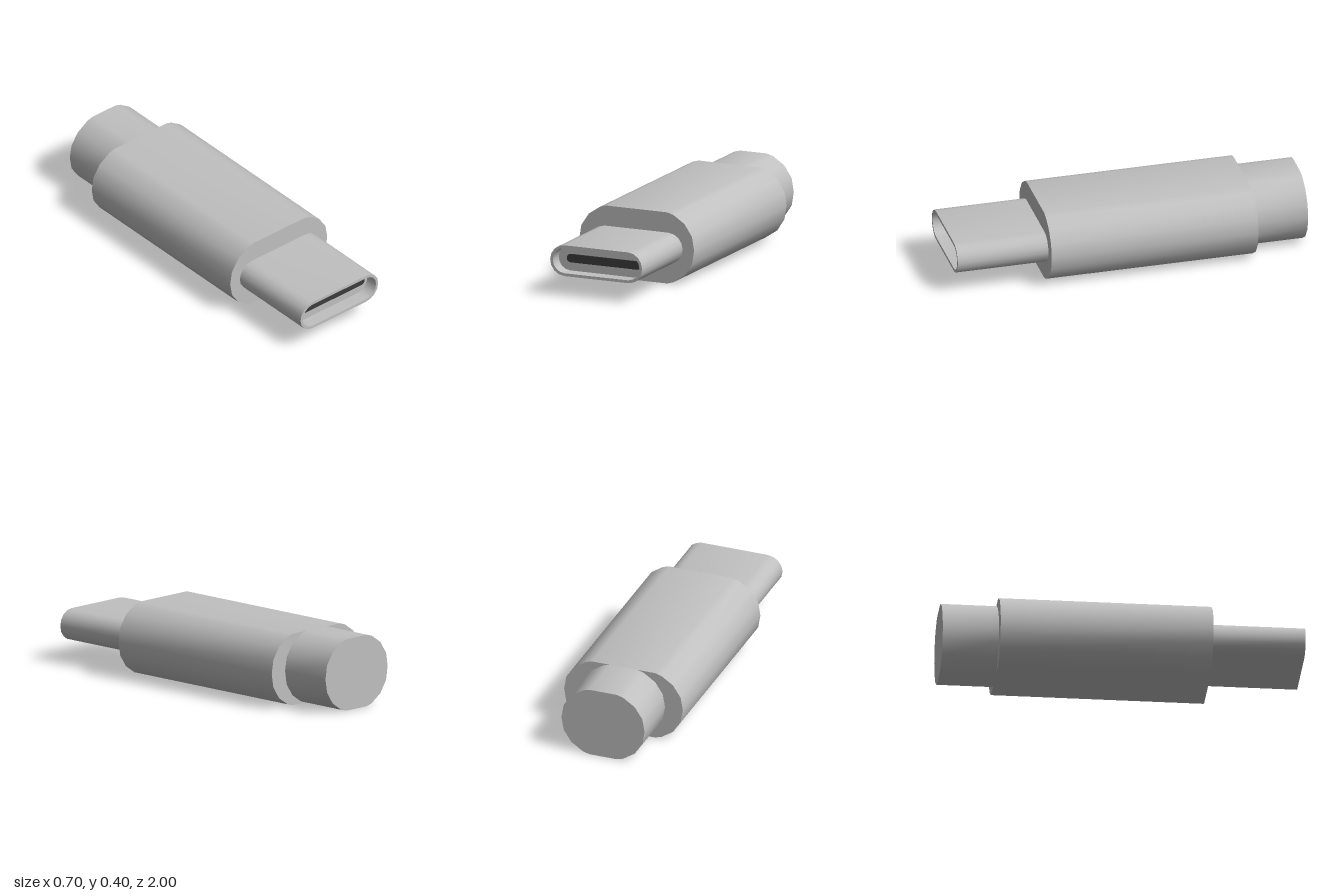
import * as THREE from 'three';
import { toCreasedNormals } from 'three/addons/utils/BufferGeometryUtils.js';

const MID_Y = 0.201;

// Rounded section: one quadrant from top to side, mirrored into a full outline
function section(quadrant) {
  const points = [];
  const back = [...quadrant].reverse();
  back.forEach(([x, y]) => points.push([x, y]));
  quadrant.slice(0, -1).forEach(([x, y]) => points.push([-x, y]));
  back.forEach(([x, y]) => points.push([-x, -y]));
  quadrant.slice(0, -1).forEach(([x, y]) => points.push([x, -y]));
  return points.map(([x, y]) => new THREE.Vector2(x, y));
}

// Quadrant of a slot: a straight run of half length h, ended by an arc of radius r
function slot(h, r, steps) {
  const quadrant = [];
  for (let i = 0; i <= steps; i++) {
    const a = Math.PI / 2 * (1 - i / steps);
    quadrant.push([h + r * Math.cos(a), r * Math.sin(a)]);
  }
  return section(quadrant);
}

export function createModel() {
  const group = new THREE.Group();
  const shell = new THREE.MeshStandardMaterial({ name: 'shell grey', color: 0xc0c0c0 });
  const dark = new THREE.MeshStandardMaterial({ name: 'contact dark grey', color: 0x3c3c3c });

  function prism(name, outline, z0, z1, material, hole) {
    const shape = new THREE.Shape(outline);
    if (hole) shape.holes.push(new THREE.Path(hole));
    const extruded = new THREE.ExtrudeGeometry(shape, { depth: z1 - z0, bevelEnabled: false });
    const mesh = new THREE.Mesh(toCreasedNormals(extruded, 0.75), material);
    mesh.name = name;
    mesh.position.set(0, MID_Y, z0);
    group.add(mesh);
    return mesh;
  }

  // Faceted housing and its narrower rear end share the same side curve
  const curve = [[0.187, 0.201], [0.224, 0.19], [0.292, 0.145], [0.337, 0.077], [0.35, 0]];
  prism('housing', section(curve), -0.69, 0.485, shell);
  prism('rearEnd', section(curve.map(([x, y]) => [x - 0.105, y])), -1, -0.69, shell);

  // Hollow plug with a recessed floor
  const outer = slot(0.193, 0.087, 4);
  const inner = slot(0.193, 0.071, 4);
  prism('plugShell', outer, 0.485, 1, shell, inner);
  prism('plugFloor', inner, 0.485, 0.925, shell);

  // Dark contact slot, a little off centre
  const contact = prism('contactSlot', slot(0.202, 0.0235, 6), 0.925, 0.932, dark);
  contact.position.x = 0.014;

  return group;
}
